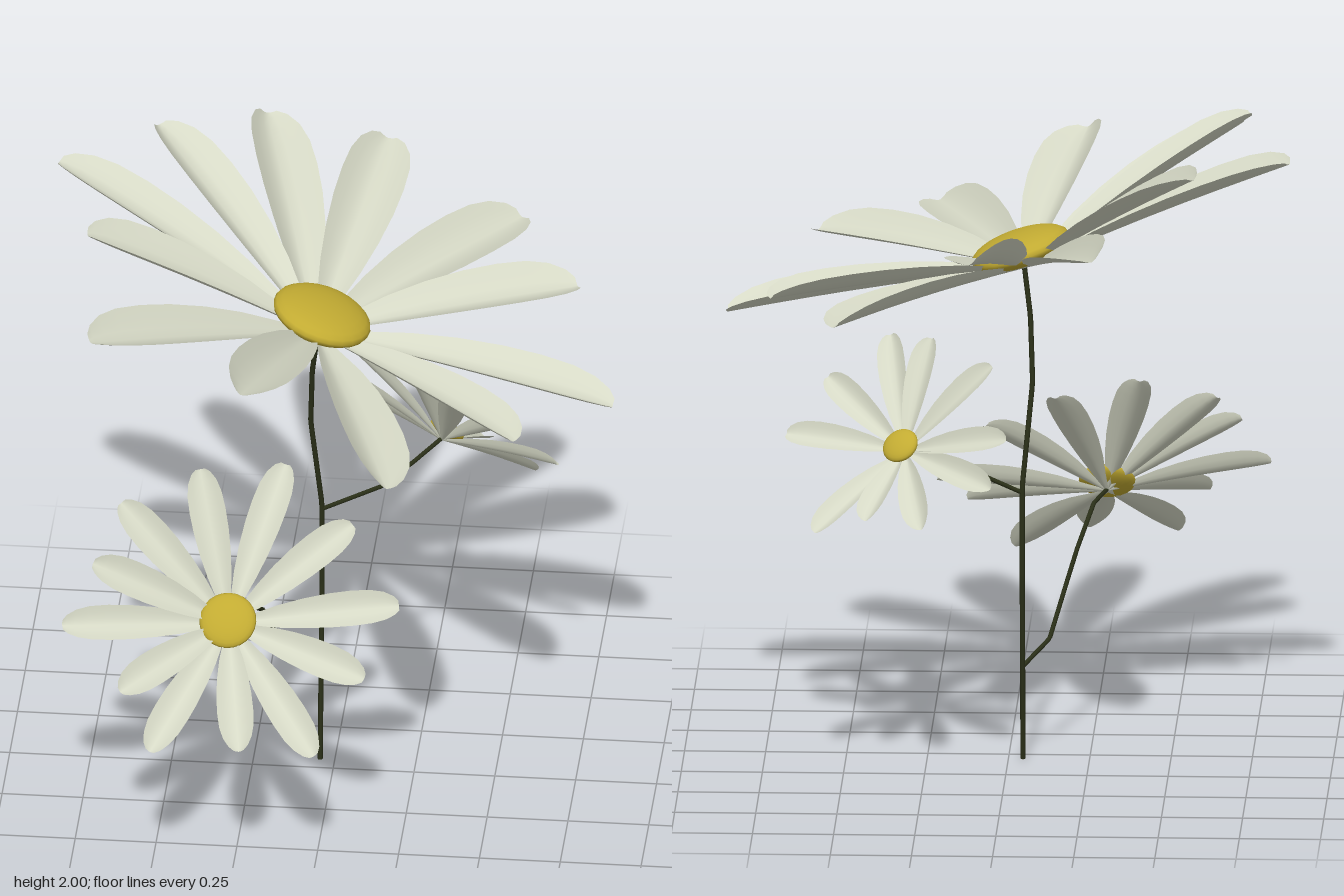
import * as THREE from 'three';

const petalMat = new THREE.MeshStandardMaterial({ color: 0xd6d9c6, side: THREE.DoubleSide });
const discMat = new THREE.MeshStandardMaterial({ color: 0xc2ab32 });
const stemMat = new THREE.MeshStandardMaterial({ color: 0x2a2f18 });
const vec = (p) => new THREE.Vector3(...p);

// Petal outline: [position along the petal, share of the full width]
const OUTLINE = [[0, 0.1], [0.15, 0.36], [0.3, 0.65], [0.45, 0.85], [0.6, 0.97], [0.73, 1],
  [0.84, 0.95], [0.92, 0.79], [0.975, 0.53], [1, 0.27]];
const COLS = 6;

// A thin blade from base to tip, channelled so that its long edges stand up
function petalGeometry(base, tip, normal, width) {
  const along = tip.clone().sub(base);
  const length = along.length();
  const dir = along.clone().normalize();
  const side = normal.clone().cross(dir).normalize();
  const up = dir.clone().cross(side);
  const positions = [], index = [];
  OUTLINE.forEach(([t, w], i) => {
    for (let j = 0; j <= COLS; j++) {
      const u = (j / COLS) * 2 - 1;
      const lift = length * 0.01 * Math.sin(Math.PI * t) + width * 0.26 * w * Math.abs(u) ** 1.5;
      const p = base.clone().addScaledVector(along, t)
        .addScaledVector(side, (u * w * width) / 2)
        .addScaledVector(up, lift);
      positions.push(p.x, p.y, p.z);
      if (i < OUTLINE.length - 1 && j < COLS) {
        const a = i * (COLS + 1) + j, b = a + COLS + 1;
        index.push(a, b, a + 1, b, b + 1, a + 1);
      }
    }
  });
  const geometry = new THREE.BufferGeometry();
  geometry.setAttribute('position', new THREE.Float32BufferAttribute(positions, 3));
  geometry.setIndex(index);
  geometry.computeVertexNormals();
  return geometry;
}

// Flower head: a ring of petals around a flattened dome
function flower({ name, base, normal, width, disc, tips }) {
  const group = new THREE.Group();
  group.name = name;
  const b = vec(base), n = vec(normal).normalize();
  tips.forEach((tip) => {
    const petal = new THREE.Mesh(petalGeometry(b, vec(tip), n, width), petalMat);
    petal.name = 'petal';
    group.add(petal);
  });
  const dome = new THREE.Mesh(new THREE.SphereGeometry(1, 24, 12), discMat);
  dome.name = 'flowerCentre';
  dome.scale.set(disc.radius, disc.height, disc.radius);
  dome.quaternion.setFromUnitVectors(new THREE.Vector3(0, 1, 0), n);
  dome.position.copy(b).addScaledVector(n, disc.offset);
  group.add(dome);
  return group;
}

// Thin kinked stem through a few points
function stem(name, points, radius) {
  const curve = new THREE.CatmullRomCurve3(points.map(vec), false, 'catmullrom', 0);
  const mesh = new THREE.Mesh(new THREE.TubeGeometry(curve, 60, radius, 8), stemMat);
  mesh.name = name;
  return mesh;
}

const FLOWERS = [
  {
    name: 'topFlower', base: [-0.055, 1.55, -0.006], normal: [0.31, 0.95, 0], width: 0.203,
    disc: { radius: 0.157, height: 0.05, offset: 0.065 },
    tips: [[-0.29, 1.8, -0.895], [0.09, 1.77, -0.83], [0.51, 1.55, -0.765], [0.72, 1.54, -0.38],
      [0.87, 1.38, 0.07], [0.61, 1.52, 0.545], [0.25, 1.53, 0.885], [-0.21, 1.79, 0.8],
      [-0.69, 1.85, 0.63], [-0.74, 1.985, 0.21], [-0.875, 1.955, -0.27], [-0.59, 1.965, -0.51]],
  },
  {
    name: 'frontFlower', base: [-0.285, 0.735, 0.4], normal: [0, 0.7, 0.71], width: 0.112,
    disc: { radius: 0.088, height: 0.028, offset: 0.038 },
    tips: [[-0.395, 1.145, 0.17], [-0.14, 1.115, 0.065], [0.08, 0.99, 0.2], [0.235, 0.785, 0.33],
      [0.15, 0.66, 0.57], [0.01, 0.47, 0.73], [-0.215, 0.515, 0.8], [-0.49, 0.505, 0.81],
      [-0.59, 0.66, 0.72], [-0.785, 0.79, 0.555], [-0.7, 0.955, 0.45], [-0.63, 1.07, 0.27]],
  },
  {
    name: 'backFlower', base: [0.31, 1.03, -0.27], normal: [0.38, 0.69, -0.63], width: 0.091,
    disc: { radius: 0.058, height: 0.022, offset: 0.035 },
    tips: [[0.235, 1.35, -0.115], [0.365, 1.33, 0.0], [0.555, 1.215, -0.08], [0.68, 1.045, -0.13],
      [0.58, 0.82, -0.47], [0.42, 0.88, -0.55], [0.245, 0.875, -0.63], [0.035, 0.99, -0.57],
      [-0.01, 1.12, -0.47], [0.04, 1.31, -0.3]],
  },
];

export function createModel() {
  const model = new THREE.Group();
  model.name = 'daisyPlant';
  model.add(
    stem('mainStem', [[-0.045, 0, -0.053], [-0.045, 0.3, -0.08], [-0.045, 0.6, -0.113],
      [-0.045, 0.88, -0.108], [-0.075, 1.2, -0.06], [-0.067, 1.4, -0.025], [-0.045, 1.57, 0]], 0.008),
    stem('frontBranch', [[-0.045, 0.3, -0.08], [-0.125, 0.37, -0.005], [-0.175, 0.53, 0.08],
      [-0.205, 0.625, 0.12], [-0.25, 0.73, 0.275], [-0.285, 0.74, 0.405]], 0.007),
    stem('backBranch', [[-0.045, 0.86, -0.108], [0.14, 0.945, -0.12], [0.23, 1.0, -0.18],
      [0.31, 1.035, -0.275]], 0.007),
    ...FLOWERS.map(flower),
  );
  return model;
}
